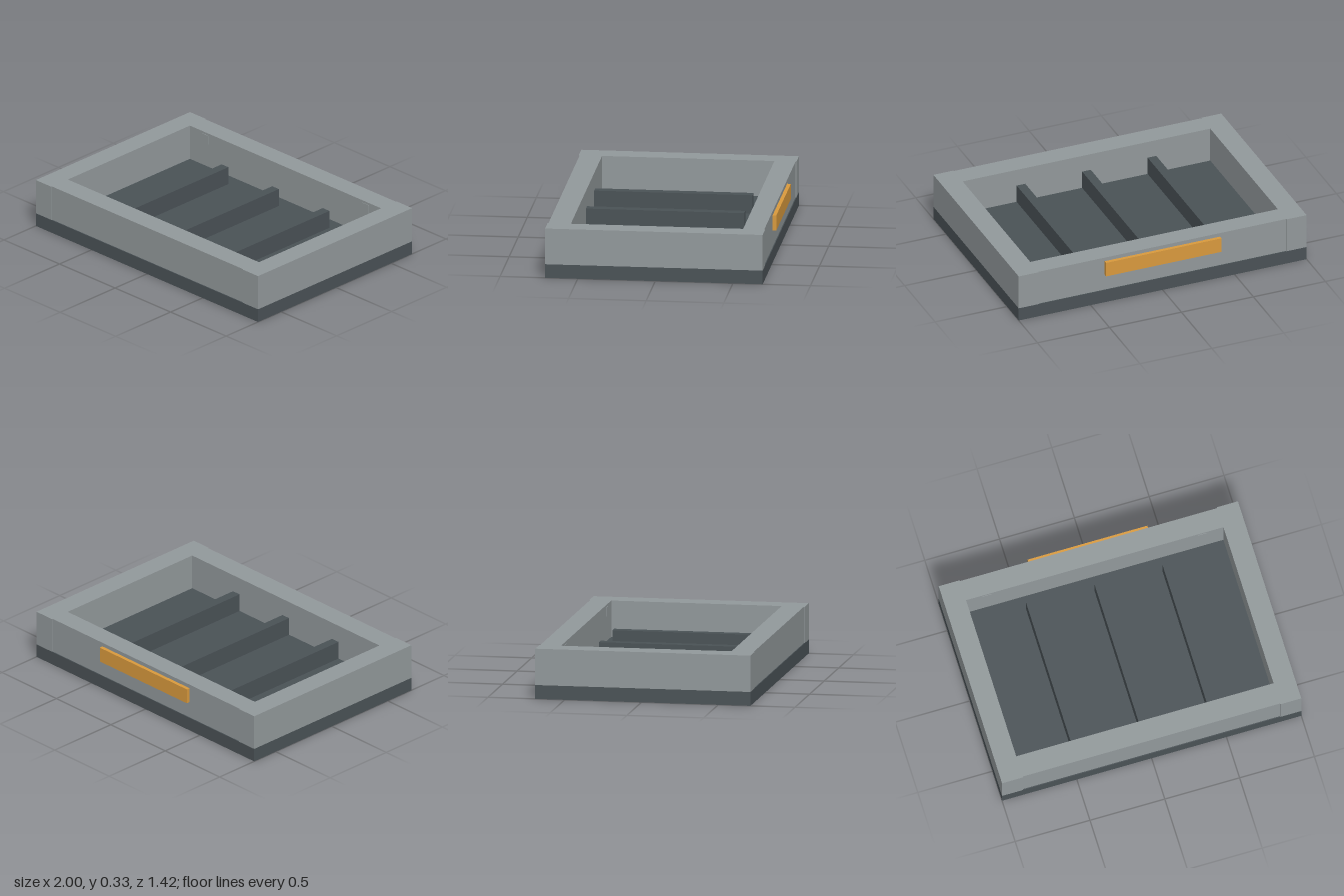
import * as THREE from 'three';

export function createModel() {
  const group = new THREE.Group();
  const grey = new THREE.MeshStandardMaterial({ color: 0x92999b });
  const dark = new THREE.MeshStandardMaterial({ color: 0x4a5256 });
  const orange = new THREE.MeshStandardMaterial({ color: 0xd99a3d });

  // Box given by its extents along x, y and z
  function box(name, material, [x0, x1], [y0, y1], [z0, z1]) {
    const mesh = new THREE.Mesh(new THREE.BoxGeometry(x1 - x0, y1 - y0, z1 - z0), material);
    mesh.position.set((x0 + x1) / 2, (y0 + y1) / 2, (z0 + z1) / 2);
    mesh.name = name;
    group.add(mesh);
  }

  const floorTop = 0.09, wallTop = 0.326;
  const back = -0.692, front = 0.71;

  // Floor slab
  box('base', dark, [-1, 1], [0, floorTop], [back, front]);

  // End walls run the full depth, long walls sit between them, slightly recessed
  const height = [floorTop, wallTop];
  box('rightWall', grey, [-1, -0.86], height, [back, front]);
  box('leftWall', grey, [0.86, 1], height, [back, front]);
  box('frontWall', grey, [-0.86, 0.86], height, [0.56, front - 0.006]);
  box('backWall', grey, [-0.86, 0.86], height, [back + 0.006, -0.55]);

  // Low ribs across the floor, joined to the front wall
  for (const x of [-0.455, 0, 0.455]) {
    box('rib', dark, [x - 0.03, x + 0.03], [floorTop, 0.21], [-0.46, 0.56]);
  }

  // Small plates inside the back wall
  for (const x of [-0.72, 0.72]) {
    box('innerPlate', grey, [x - 0.03, x + 0.03], [0.25, 0.31], [-0.56, -0.547]);
  }

  // Grip bar on the back
  box('handle', orange, [-0.4, 0.4], [0.2, 0.3], [-0.71, -0.686]);

  return group;
}
